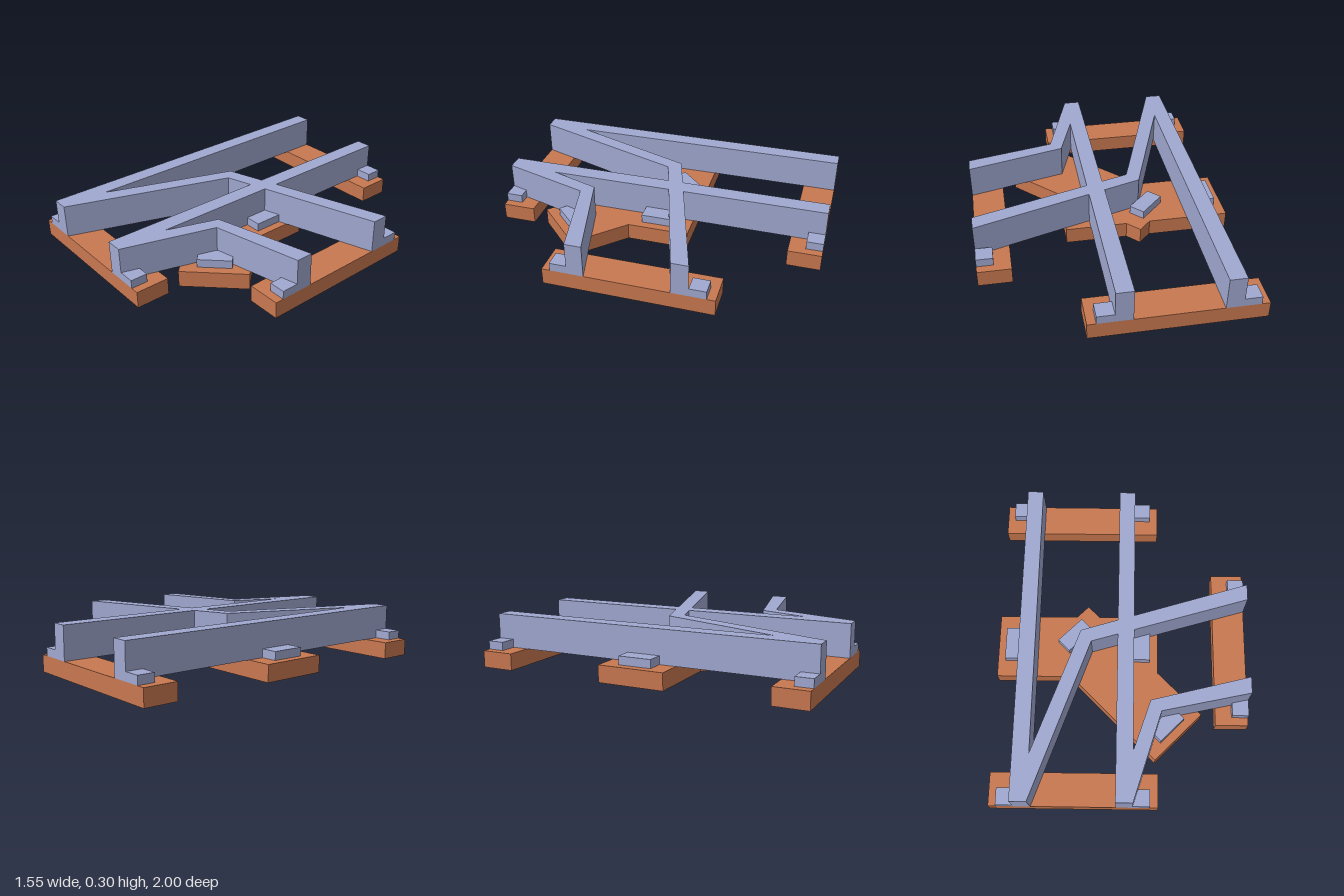
import * as THREE from 'three';

export function createModel() {
  const group = new THREE.Group();
  const steel = new THREE.MeshStandardMaterial({ color: 0xa0a8d0 });
  steel.name = 'steel blue';
  const wood = new THREE.MeshStandardMaterial({ color: 0xc87850 });
  wood.name = 'rust wood';

  // Box centred on (x, z), its base at height y
  function block(name, mat, x, z, y, w, h, d, turn = 0) {
    const mesh = new THREE.Mesh(new THREE.BoxGeometry(w, h, d), mat);
    mesh.name = name;
    mesh.position.set(x, y + h / 2, z);
    mesh.rotation.y = turn;
    group.add(mesh);
  }

  // Rail bent in plan, given as an outline of [x, z] points
  function bentRail(name, outline) {
    const shape = new THREE.Shape(outline.map(([x, z]) => new THREE.Vector2(x, -z)));
    const geo = new THREE.ExtrudeGeometry(shape, { depth: 0.2, bevelEnabled: false });
    geo.rotateX(-Math.PI / 2).translate(0, 0.1, 0);
    const mesh = new THREE.Mesh(geo, steel);
    mesh.name = name;
    group.add(mesh);
  }

  // Straight track: sleepers with a clip outside each rail
  for (const [z, depth] of [[-0.9, 0.2], [0, 0.4], [0.9, 0.2]]) {
    block('sleeper', wood, -0.275, z, 0, 1, 0.1, depth);
    const clipZ = Math.sign(z) * 0.95;
    for (const x of [-0.675, 0.125]) block('clip', steel, x, clipZ, 0.1, 0.1, 0.05, depth / 2);
  }
  for (const x of [-0.575, 0.025]) block('straightRail', steel, x, 0, 0.1, 0.1, 0.2, 2);

  // Branch sleeper at the side exit
  block('exitSleeper', wood, 0.675, 0, 0, 0.2, 0.1, 1);
  for (const z of [-0.4, 0.4]) block('exitClip', steel, 0.725, z, 0.1, 0.1, 0.05, 0.1);

  // Diagonal sleeper under the bend
  block('diagonalSleeper', wood, -0.005, 0.223, 0, 1, 0.1, 0.4, -Math.PI / 4);
  for (const s of [-0.284, 0.284]) {
    block('diagonalClip', steel, -0.008 + s, 0.223 + s, 0.1, 0.1, 0.05, 0.2, -Math.PI / 4);
  }

  // Branching rails
  bentRail('outerBranchRail', [[-0.625, 1], [-0.525, 1], [-0.185, 0.035], [0.775, -0.25], [0.775, -0.35], [-0.25, -0.035]]);
  bentRail('innerBranchRail', [[-0.025, 1], [0.075, 1], [0.24, 0.465], [0.775, 0.35], [0.775, 0.25], [0.175, 0.4]]);

  return group;
}
